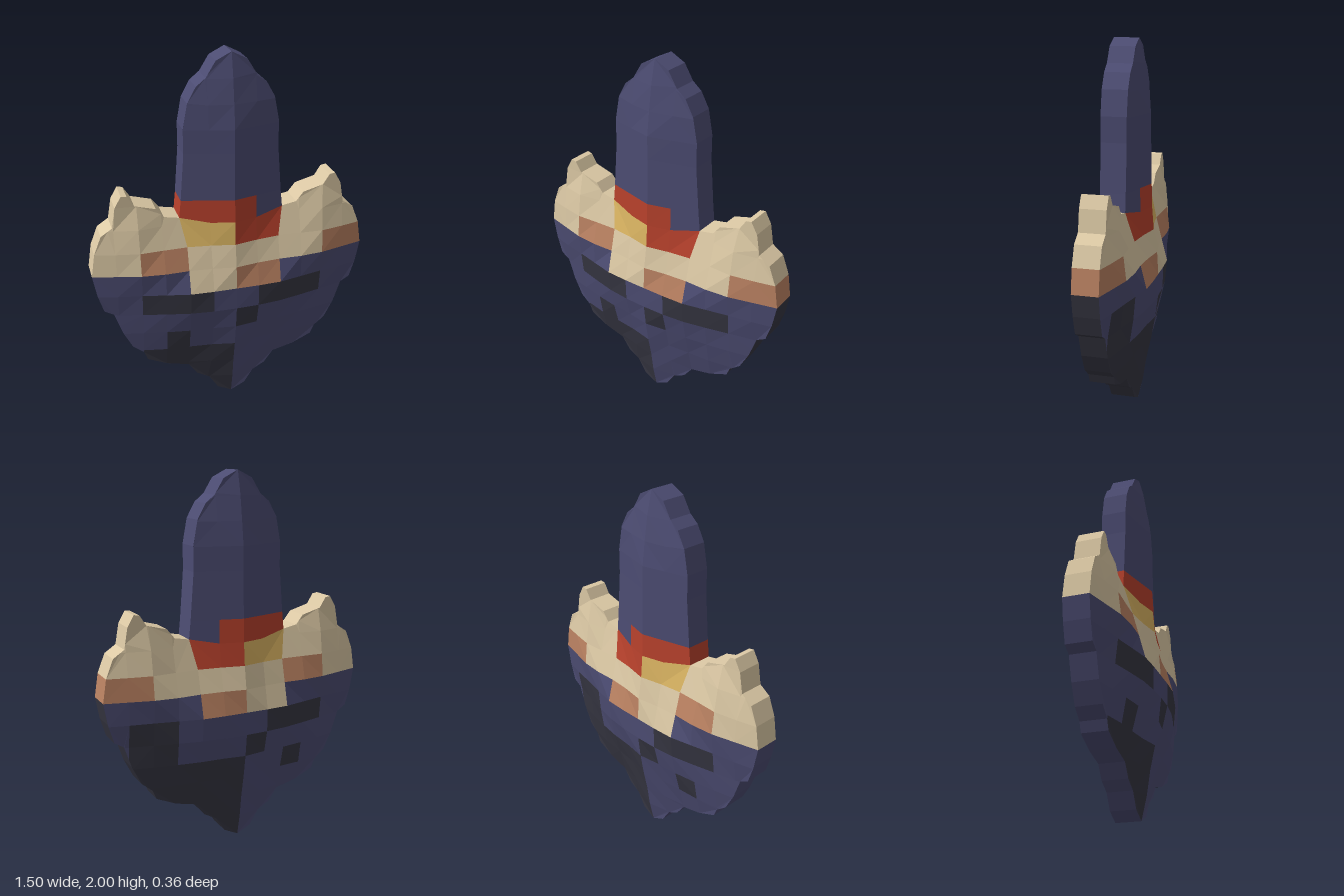
import * as THREE from 'three';

const EDGE = 0.067, STEP = 0.125;

const colours = {
  navy: 0x4c4c72, dark: 0x363642, cream: 0xdcc9a5,
  tan: 0xbb8262, red: 0xb8412c, gold: 0xdab462,
};

// Right half of the outline, from the bottom tip to the top
const half = [
  [0, 0], [.08, .04], [.13, .12], [.2, .16], [.25, .23], [.37, .26], [.48, .31], [.5, .36],
  [.56, .41], [.61, .51], [.65, .63], [.7, .66], [.73, .76], [.75, .875], [.73, 1], [.69, 1.1],
  [.63, 1.14], [.61, 1.25], [.575, 1.31], [.545, 1.305], [.51, 1.25], [.4, 1.22], [.36, 1.17],
  [.28, 1.155], [.27, 1.25], [.25, 1.5], [.25, 1.63], [.225, 1.76], [.18, 1.84], [.13, 1.88],
  [.08, 1.96], [0, 2],
];
const outline = [...half, ...half.slice(1, -1).reverse().map(([x, y]) => [-x, y])]
  .map(([x, y]) => new THREE.Vector2(x, y));

// Colour patches: [colour, x0, x1, y0, y1], first match wins
const upper = [
  ['gold', -.25, 0, 1, 1.125], ['red', 0, .25, 1, 1.125],
  ['red', -.25, .125, 1.125, 1.25], ['navy', -.25, .25, 1.125, 2],
  ['tan', -.5, -.25, .875, 1], ['tan', .5, .875, .875, 1],
  ['tan', 0, .25, .75, .875], ['cream', -.25, 0, .75, .875],
  ['cream', -1, 1, .875, 2],
];
const frontPatches = [
  ...upper,
  ['dark', -.5, -.125, .625, .75], ['dark', .125, .5, .625, .75],
  ['dark', 0, .125, .5, .625], ['dark', -.375, -.25, .375, .5],
  ['dark', -.5, 0, 0, .375],
];
const backPatches = [
  ...upper,
  ['dark', -.5, -.125, .625, .75], ['dark', -.125, 0, .5, .625],
  ['dark', -.375, -.25, .375, .5], ['dark', .375, .625, .5, .75],
  ['dark', 0, .75, 0, .5],
];
const pick = (patches, x, y) => {
  const hit = patches.find(([, x0, x1, y0, y1]) => x > x0 && x < x1 && y > y0 && y < y1);
  return hit ? hit[0] : 'navy';
};

// Distance from a point to the outline sets how far the face bulges
function bulge(p) {
  let best = Infinity;
  outline.forEach((a, i) => {
    const b = outline[(i + 1) % outline.length];
    const ab = b.clone().sub(a), ap = p.clone().sub(a);
    const t = THREE.MathUtils.clamp(ap.dot(ab) / ab.lengthSq(), 0, 1);
    best = Math.min(best, ap.addScaledVector(ab, -t).length());
  });
  return EDGE + Math.min(0.111, 0.26 * best);
}

// Grid corner, with the foot of the upright blade flared out
function corner(x, y) {
  if (Math.abs(x) === .25 && y >= 1.125) {
    return new THREE.Vector2(Math.sign(x) * .28, y === 1.125 ? 1.155 : y);
  }
  return new THREE.Vector2(x, y);
}

// Part of the outline inside one convex grid cell
function clip(poly, cell) {
  cell.forEach((a, i) => {
    const b = cell[(i + 1) % cell.length];
    const side = p => (b.x - a.x) * (p.y - a.y) - (b.y - a.y) * (p.x - a.x);
    const out = [];
    poly.forEach((p, j) => {
      const q = poly[(j + 1) % poly.length];
      const sp = side(p), sq = side(q);
      if (sp >= 0) out.push(p);
      if ((sp > 0 && sq < 0) || (sp < 0 && sq > 0)) out.push(p.clone().lerp(q, sp / (sp - sq)));
    });
    poly = out;
  });
  return poly.filter((p, i) => p.distanceTo(poly[(i + 1) % poly.length]) > 1e-5);
}

export function createModel() {
  const model = new THREE.Group();
  model.name = 'shield';
  const materials = {};
  for (const [name, color] of Object.entries(colours)) {
    materials[name] = new THREE.MeshStandardMaterial({ color });
    materials[name].name = name;
  }
  const parts = { frontFace: {}, backFace: {}, rim: {} };
  const add = (part, colour, ...pts) => {
    (parts[part][colour] ??= []).push(...pts.flat());
  };

  // Front and back faces, cell by cell
  for (let x = -.75; x < .75; x += STEP) {
    for (let y = 0; y < 2; y += STEP) {
      const cell = [corner(x, y), corner(x + STEP, y),
        corner(x + STEP, y + STEP), corner(x, y + STEP)];
      const poly = clip(outline, cell);
      if (poly.length < 3 || THREE.ShapeUtils.area(poly) < 1e-6) continue;
      const front = pick(frontPatches, x + STEP / 2, y + STEP / 2);
      const back = pick(backPatches, x + STEP / 2, y + STEP / 2);
      const z = poly.map(bulge);
      for (const [a, b, c] of THREE.ShapeUtils.triangulateShape(poly, [])) {
        const at = (i, s) => [poly[i].x, poly[i].y, s * z[i]];
        add('frontFace', front, at(a, 1), at(b, 1), at(c, 1));
        add('backFace', back, at(a, -1), at(c, -1), at(b, -1));
      }
    }
  }

  // Flat rim around the outline
  outline.forEach((a, i) => {
    const b = outline[(i + 1) % outline.length];
    const x = (a.x + b.x) / 2, y = (a.y + b.y) / 2;
    let colour = 'cream';
    if (y < .875) colour = x > 0 ? 'dark' : 'navy';
    else if (Math.abs(x) < .28 && y > 1.16) colour = x < 0 && y < 1.25 ? 'red' : 'navy';
    else if (x > 0 && y < 1) colour = 'tan';
    const p = (v, s) => [v.x, v.y, s * EDGE];
    add('rim', colour, p(a, 1), p(a, -1), p(b, -1), p(a, 1), p(b, -1), p(b, 1));
  });

  // One faceted mesh for each colour of each part
  for (const [part, byColour] of Object.entries(parts)) {
    const group = new THREE.Group();
    group.name = part;
    for (const [colour, points] of Object.entries(byColour)) {
      const geometry = new THREE.BufferGeometry();
      geometry.setAttribute('position', new THREE.Float32BufferAttribute(points, 3));
      geometry.computeVertexNormals();
      const mesh = new THREE.Mesh(geometry, materials[colour]);
      mesh.name = `${part} ${colour}`;
      group.add(mesh);
    }
    model.add(group);
  }
  return model;
}
